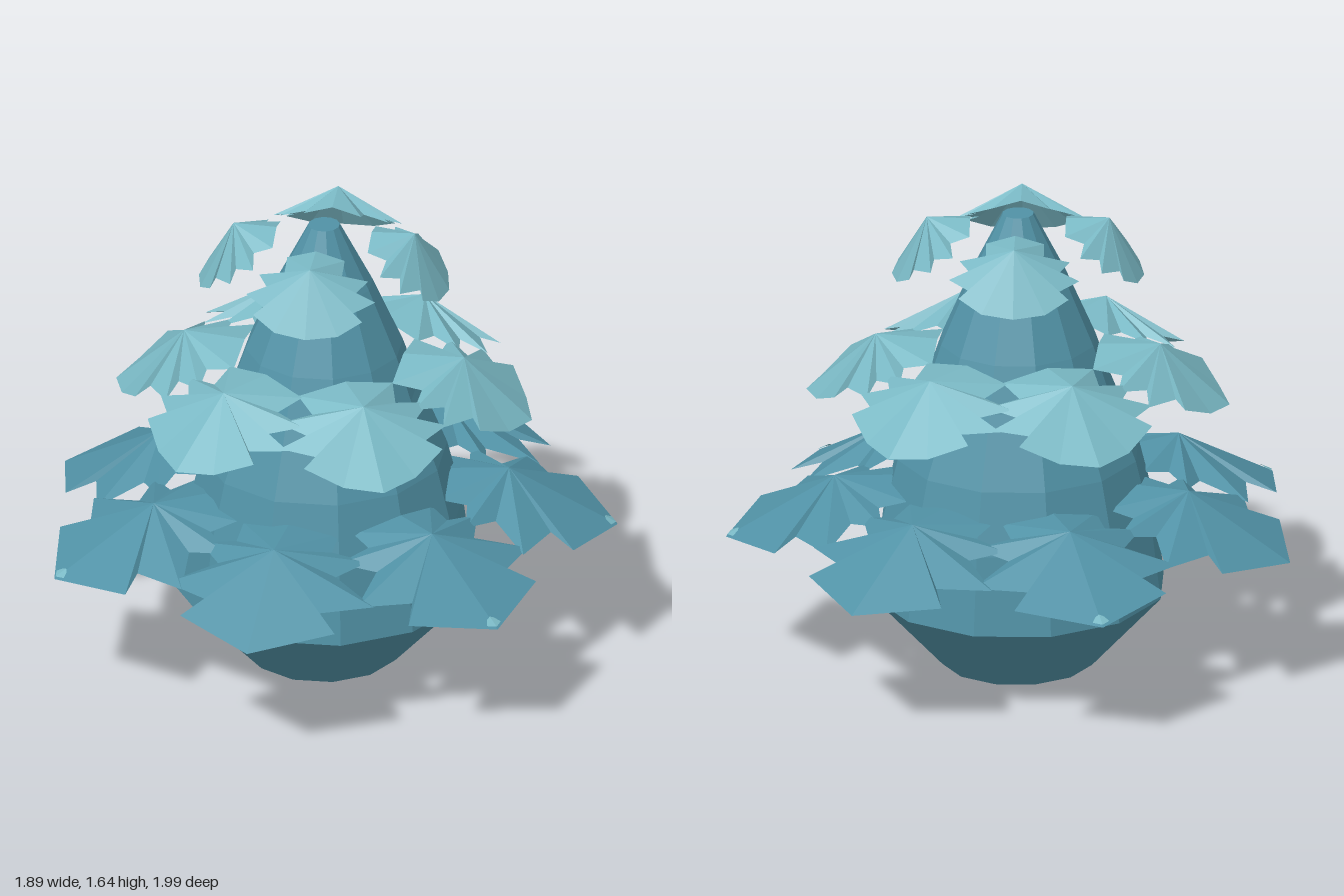
import * as THREE from 'three';

const makeMaterial = (name, color) => {
  const m = new THREE.MeshStandardMaterial({ color, flatShading: true, side: THREE.DoubleSide });
  m.name = name;
  return m;
};

// Pleated leaf: a fan from the apex over a mirrored rim of ridges and valleys.
// Points are [outward distance, sideways distance, height]; half runs from tip to back.
function leafGeometry(apex, half) {
  const mirrored = half.slice(1, -1).reverse().map(([u, v, y]) => [u, -v, y]);
  const rim = [...half, ...mirrored];
  const pos = [];
  const push = ([u, v, y]) => pos.push(u, y, -v);
  rim.forEach((p, i) => {
    push(apex);
    push(p);
    push(rim[(i + 1) % rim.length]);
  });
  const g = new THREE.BufferGeometry();
  g.setAttribute('position', new THREE.Float32BufferAttribute(pos, 3));
  g.computeVertexNormals();
  return g;
}

// Slightly oval ring of equal leaves around the body axis
function leafTier(name, geometry, material, count, startDegrees, oval) {
  const tier = new THREE.Group();
  tier.name = name;
  for (let i = 0; i < count; i++) {
    const angle = THREE.MathUtils.degToRad(startDegrees) + (i / count) * Math.PI * 2;
    const leaf = new THREE.Mesh(geometry, material);
    leaf.name = name + 'Leaf' + (i + 1);
    leaf.rotation.y = angle;
    leaf.position.z = -Math.sin(angle) * oval;
    tier.add(leaf);
  }
  return tier;
}

export function createModel() {
  const model = new THREE.Group();
  model.name = 'leafyCone';
  const deep = makeMaterial('deep teal', 0x5192a6);
  const pale = makeMaterial('pale teal', 0x7ab9c5);

  const plant = new THREE.Group();
  plant.name = 'plant';
  plant.position.x = -0.05;
  model.add(plant);

  // Twelve-sided, slightly oval tapering body, closed at both ends
  const profile = [[0, 0], [0.27, 0], [0.52, 0.27], [0.485, 0.55], [0.43, 0.77],
    [0.33, 1.02], [0.275, 1.18], [0.17, 1.42], [0.055, 1.645], [0, 1.645]];
  const bodyGeometry = new THREE.LatheGeometry(profile.map(([r, y]) => new THREE.Vector2(r, y)), 12);
  bodyGeometry.scale(0.978, 1, 1);
  const body = new THREE.Mesh(bodyGeometry, deep);
  body.name = 'body';
  plant.add(body);

  // Lower tier: seven broad leaves
  const lower = leafTier('lowerTier', leafGeometry([0.62, 0, 0.7], [
    [0.995, 0, 0.485], [0.85, 0.275, 0.525], [0.77, 0.2, 0.555], [0.68, 0.37, 0.555],
    [0.58, 0.21, 0.6], [0.48, 0.3, 0.62], [0.48, 0.17, 0.64], [0.38, 0.17, 0.66], [0.42, 0, 0.695],
  ]), deep, 7, 0, 0.028);
  plant.add(lower);

  // Pale tips on some lower leaves
  const tipGeometry = leafGeometry([0.96, 0, 0.511], [
    [0.99, 0, 0.494], [0.973, 0.03, 0.4985], [0.955, 0.015, 0.511], [0.95, 0, 0.517],
  ]);
  for (const i of [0, 1, 3, 5]) {
    const tip = new THREE.Mesh(tipGeometry, pale);
    tip.name = 'paleTip';
    lower.children[i].add(tip);
  }

  // Middle tier: six drooping leaves whose inner pleats close around the body
  plant.add(leafTier('middleTier', leafGeometry([0.485, 0, 1.18], [
    [0.725, 0, 0.965], [0.675, 0.13, 0.98], [0.6, 0.25, 1.035], [0.56, 0.19, 1.05],
    [0.48, 0.3, 1.06], [0.46, 0.19, 1.08], [0.37, 0.27, 1.1], [0.37, 0.15, 1.115],
    [0.27, 0.17, 1.14], [0.27, 0, 1.17],
  ]), pale, 6, 40, 0.02));

  // Top tier: four small, steep leaves
  plant.add(leafTier('topTier', leafGeometry([0.31, 0, 1.63], [
    [0.43, 0, 1.42], [0.41, 0.11, 1.43], [0.365, 0.19, 1.47], [0.35, 0.15, 1.49],
    [0.29, 0.225, 1.51], [0.28, 0.15, 1.53], [0.215, 0.19, 1.55], [0.225, 0.1, 1.57],
    [0.16, 0.1, 1.595], [0.16, 0, 1.625],
  ]), pale, 4, 45, 0.01));

  return model;
}
